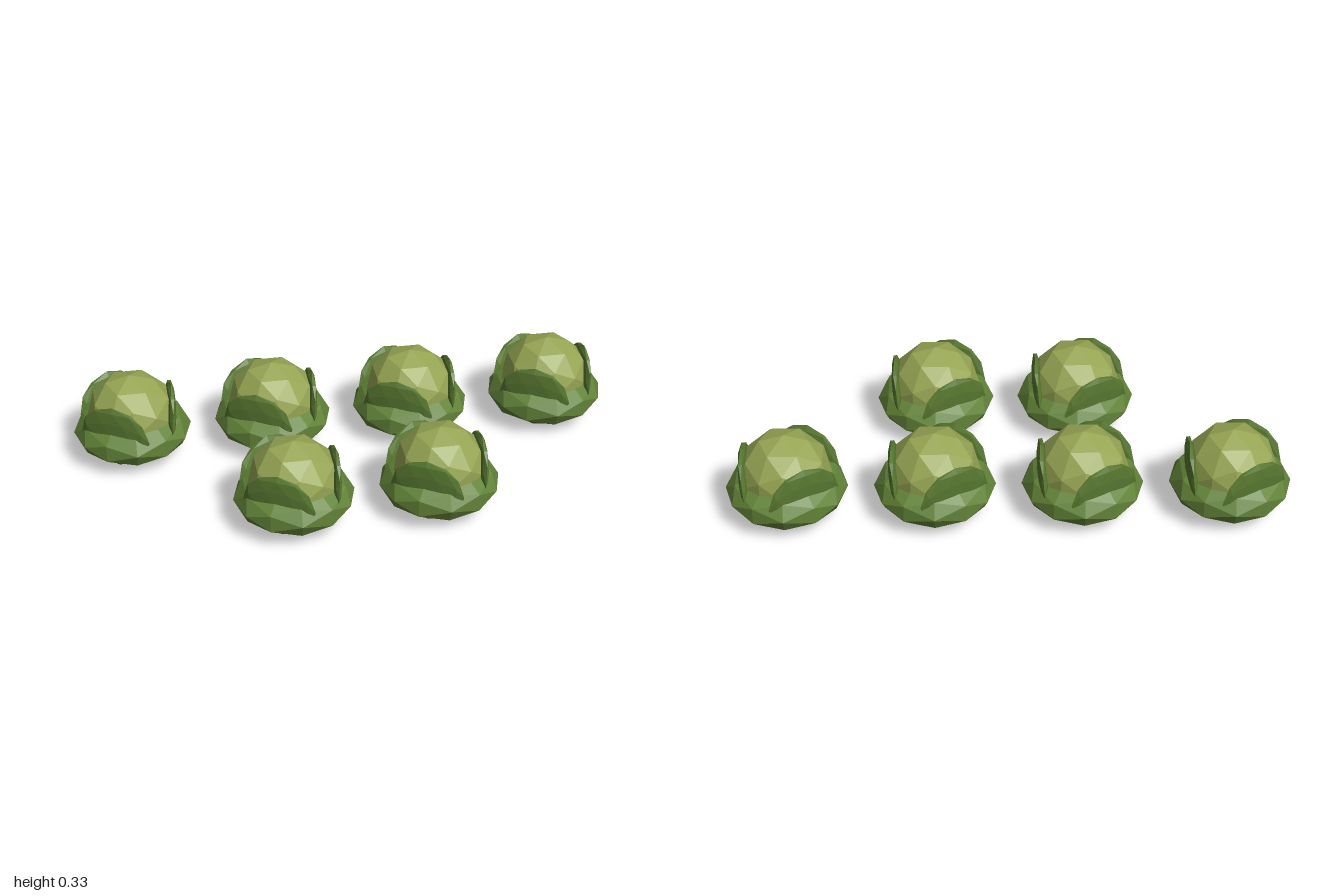
import * as THREE from 'three';

// Faceted ball stretched to the given radii
function facetedBall(rx, ry, rz) {
  const g = new THREE.IcosahedronGeometry(1, 1);
  g.scale(rx, ry, rz);
  g.computeVertexNormals(); // unindexed, so normals stay flat
  return g;
}

export function createModel() {
  const headGreen = new THREE.MeshStandardMaterial({ color: 0x96a553 });
  headGreen.name = 'paleHeadGreen';
  const outerGreen = new THREE.MeshStandardMaterial({ color: 0x628338 });
  outerGreen.name = 'outerLeafGreen';
  const leafGreen = new THREE.MeshStandardMaterial({ color: 0x587830 });
  leafGreen.name = 'wrapLeafGreen';

  const baseGeo = facetedBall(0.216, 0.105, 0.21);
  const headGeo = facetedBall(0.165, 0.165, 0.165);
  const leafGeo = facetedBall(0.022, 0.13, 0.135);

  function add(parent, name, geo, mat, x, y) {
    const m = new THREE.Mesh(geo, mat);
    m.name = name;
    m.position.set(x, y, 0);
    parent.add(m);
    return m;
  }

  function cabbage(x, z) {
    const c = new THREE.Group();
    c.name = 'cabbage';
    c.position.set(x, 0, z);
    add(c, 'outerLeaves', baseGeo, outerGreen, 0, 0.105);
    add(c, 'head', headGeo, headGreen, 0, 0.163);
    // Three leaning leaves, with the head bulging through them
    for (let i = 0; i < 3; i++) {
      const turn = new THREE.Group();
      turn.name = 'wrapLeaf';
      turn.rotation.y = (i * Math.PI * 2) / 3;
      add(turn, 'leaf', leafGeo, leafGreen, 0.138, 0.145).rotation.z = -0.1;
      c.add(turn);
    }
    return c;
  }

  const model = new THREE.Group();
  model.name = 'cabbageRows';
  // Back row of four, front row of two
  for (const x of [-0.784, -0.261, 0.261, 0.784]) model.add(cabbage(x, -0.267));
  for (const x of [-0.261, 0.261]) model.add(cabbage(x, 0.267));
  return model;
}
